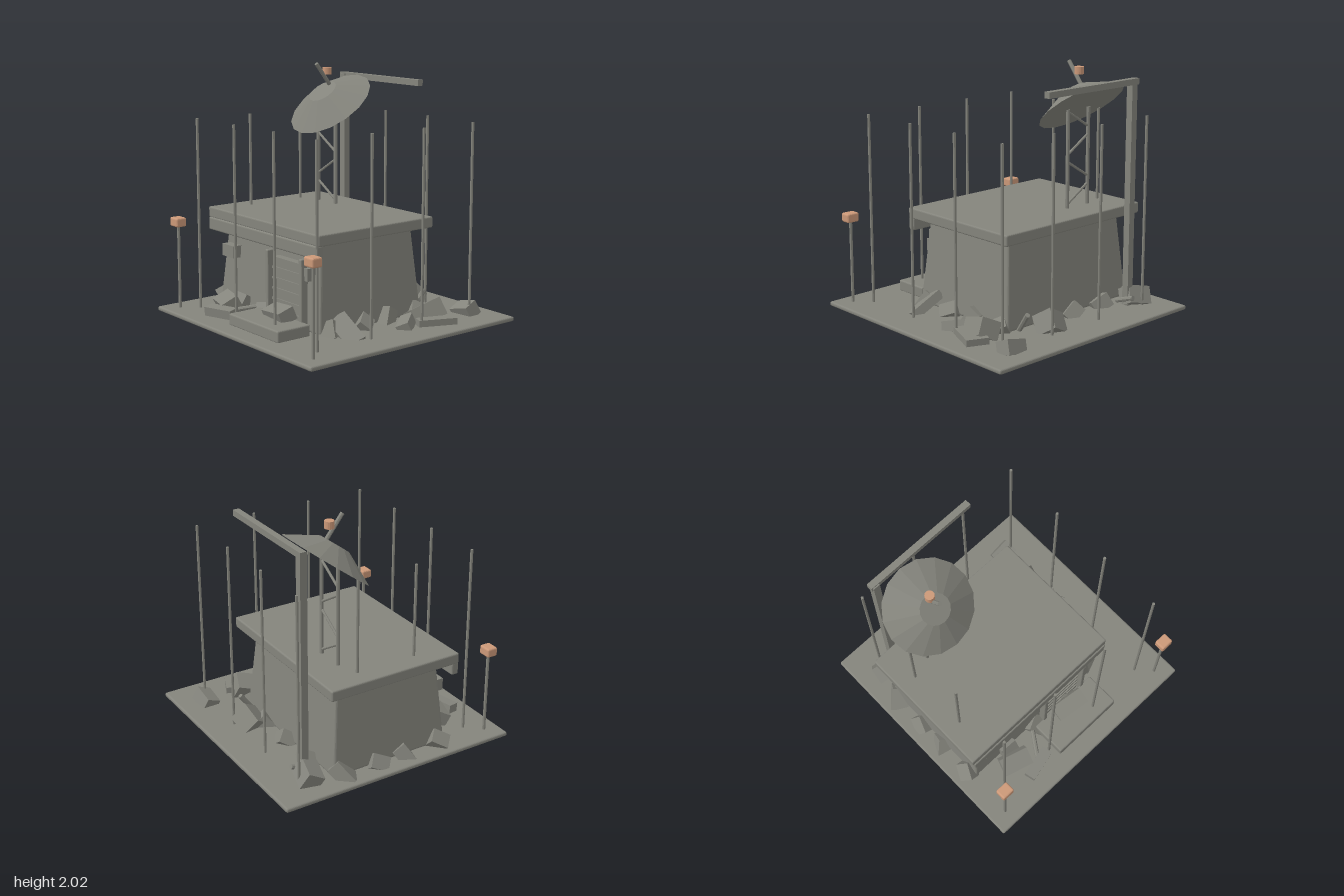
import * as THREE from 'three';
import { RoundedBoxGeometry } from 'three/addons/geometries/RoundedBoxGeometry.js';

export function createModel() {
  const model = new THREE.Group();
  model.name = 'outpost';
  const concrete = new THREE.MeshStandardMaterial({ color: 0x84847c });
  concrete.name = 'concrete grey';
  const lampOrange = new THREE.MeshStandardMaterial({ color: 0xcb9878 });
  lampOrange.name = 'lamp orange';
  for (const material of [concrete, lampOrange]) material.flatShading = true;

  const add = (name, geometry, material = concrete) => {
    const mesh = new THREE.Mesh(geometry, material);
    mesh.name = name;
    model.add(mesh);
    return mesh;
  };
  // Box given by its extents, with optional bevel
  const box = (name, [x0, x1], [y0, y1], [z0, z1], bevel = 0, material = concrete) => {
    const size = [x1 - x0, y1 - y0, z1 - z0];
    const geometry = bevel ? new RoundedBoxGeometry(...size, 2, bevel) : new THREE.BoxGeometry(...size);
    add(name, geometry, material).position.set((x0 + x1) / 2, (y0 + y1) / 2, (z0 + z1) / 2);
  };
  // Round rod between two points
  const rod = (name, a, b, radius, sides = 8) => {
    const from = new THREE.Vector3(...a), to = new THREE.Vector3(...b);
    const axis = to.clone().sub(from);
    const mesh = add(name, new THREE.CylinderGeometry(radius, radius, axis.length(), sides));
    mesh.position.copy(from).add(to).multiplyScalar(0.5);
    mesh.quaternion.setFromUnitVectors(new THREE.Vector3(0, 1, 0), axis.normalize());
  };

  box('groundSlab', [-0.98, 0.98], [0.085, 0.12], [-0.98, 0.98], 0.014);

  // Bunker walls, tapering upwards
  const walls = new RoundedBoxGeometry(1.28, 0.69, 0.99, 2, 0.02);
  const p = walls.attributes.position;
  for (let i = 0; i < p.count; i++) {
    const t = (p.getY(i) + 0.345) / 0.69;
    p.setX(i, p.getX(i) * (1 - 0.1 * t));
    p.setZ(i, p.getZ(i) * (1 - 0.12 * t));
  }
  walls.computeVertexNormals();
  add('bunkerWalls', walls).position.set(-0.18, 0.465, 0);
  box('roofSlab', [-0.885, 0.52], [0.795, 0.88], [-0.55, 0.55], 0.012);
  box('roofFascia', [-0.87, 0.51], [0.70, 0.80], [0.5, 0.56], 0.012);

  // Doorway and windows
  box('doorPanel', [-0.08, 0.28], [0.13, 0.62], [0.42, 0.515]);
  for (const x of [-0.108, 0.303])
    box('doorPost', [x - 0.018, x + 0.018], [0.12, 0.67], [0.495, 0.555], 0.01);
  for (let i = 0; i < 5; i++) {
    const y = 0.22 + i * 0.08;
    box('doorSlat', [-0.08, 0.275], [y - 0.008, y + 0.008], [0.51, 0.525]);
  }
  box('doorStep', [-0.21, 0.405], [0.115, 0.205], [0.54, 0.83], 0.012);
  for (const span of [[0.285, 0.36], [-0.73, -0.58]])
    box('window', span, [0.51, 0.605], [0.43, 0.528]);

  // Fence poles around the perimeter
  for (let i = 0; i < 4; i++) for (let j = 0; j < 4; j++) {
    const x = -0.737 + i * 0.491, z = -0.737 + j * 0.491;
    if (i % 3 === 0 || j % 3 === 0) rod('fencePole', [x, 0.1, z], [x, 1.605, z], 0.011);
  }

  // Corner lamps
  for (const x of [-0.846, 0.846]) {
    rod('lampPost', [x, 0.11, 0.855], [x, 0.78, 0.855], 0.012);
    box('lampHead', [x - 0.053, x + 0.053], [0.766, 0.837], [0.812, 0.9], 0.014, lampOrange);
  }

  // Lattice tower on the roof
  for (const x of [-0.565, -0.345]) rod('towerPost', [x, 0.87, -0.3], [x, 1.64, -0.3], 0.015, 10);
  for (let i = 0; i < 4; i++) {
    const s = i % 2 ? 0.11 : -0.11, y = 0.91 + i * 0.193;
    rod('towerBrace', [-0.455 - s, y, -0.3], [-0.455 + s, y + 0.135, -0.3], 0.01);
  }

  // Dish with feed arm
  const dish = add('dish', new THREE.CylinderGeometry(0.118, 0.355, 0.13, 16));
  dish.position.set(-0.455, 1.719, -0.296);
  dish.rotation.x = 0.6435;
  rod('feedArm', [-0.455, 1.81, -0.335], [-0.455, 1.99, -0.195], 0.016);
  add('feedHorn', new THREE.CylinderGeometry(0.036, 0.036, 0.056, 16), lampOrange)
    .position.set(-0.455, 1.928, -0.302);

  // Crane mast and arm
  box('craneMast', [-0.688, -0.632], [0.11, 1.875], [-0.68, -0.625]);
  box('craneArm', [-0.7, 0.24], [1.84, 1.886], [-0.685, -0.635]);

  // Rubble lying on the ground and the step
  const chunk = (x, y, z, size, turn) => {
    const mesh = add('rubbleChunk', new THREE.BoxGeometry(...size));
    mesh.position.set(x, y, z);
    mesh.rotation.set(...turn);
  };
  chunk(0.67, 0.14, -0.76, [0.18, 0.11, 0.12], [0.4, 0.1, 0.2]);
  chunk(0.62, 0.17, -0.39, [0.16, 0.14, 0.26], [0.3, -0.2, 0.5]);
  chunk(0.72, 0.145, -0.39, [0.17, 0.05, 0.3], [0, -0.4, 0]);
  chunk(0.66, 0.14, -0.16, [0.1, 0.08, 0.2], [0.2, 0.65, 0.3]);
  chunk(0.56, 0.15, 0.33, [0.29, 0.07, 0.15], [0.4, -0.25, -0.4]);
  chunk(0.11, 0.23, 0.6, [0.27, 0.1, 0.13], [0.35, -0.1, 0.15]);
  chunk(-0.52, 0.19, 0.63, [0.24, 0.1, 0.14], [0.5, -0.25, 0.15]);
  chunk(-0.4, 0.165, 0.77, [0.26, 0.07, 0.09], [0.1, 0.25, 0]);
  chunk(-0.74, 0.17, -0.66, [0.2, 0.14, 0.14], [0.5, -0.1, 0.3]);
  chunk(0.17, 0.16, -0.64, [0.18, 0.16, 0.16], [0.6, 0.4, 0.3]);

  // Smaller rubble half buried along the foot of the walls
  let seed = 7;
  const random = () => (seed = (seed * 16807) % 2147483647) / 2147483647;
  for (let i = 0; i < 14; i++) {
    const angle = (i + 0.5) / 14 * Math.PI * 2;
    const c = Math.cos(angle), s = Math.sin(angle);
    const reach = 1 / Math.max(Math.abs(c), Math.abs(s));
    chunk(-0.18 + c * reach * 0.64, 0.11 + random() * 0.04, s * reach * 0.52,
      [0.12 + random() * 0.08, 0.11, 0.14], [0.3 + random() * 0.4, random() * 3, 0.3 + random() * 0.4]);
  }

  // Bent reinforcing rods
  rod('rebar', [0.35, 0.12, -0.5], [0.37, 0.27, -0.61], 0.02);
  rod('rebar', [-0.63, 0.14, -0.57], [-0.63, 0.2, -0.74], 0.018);
  rod('rebar', [-0.37, 0.17, 0.73], [-0.25, 0.2, 0.55], 0.018);

  return model;
}
